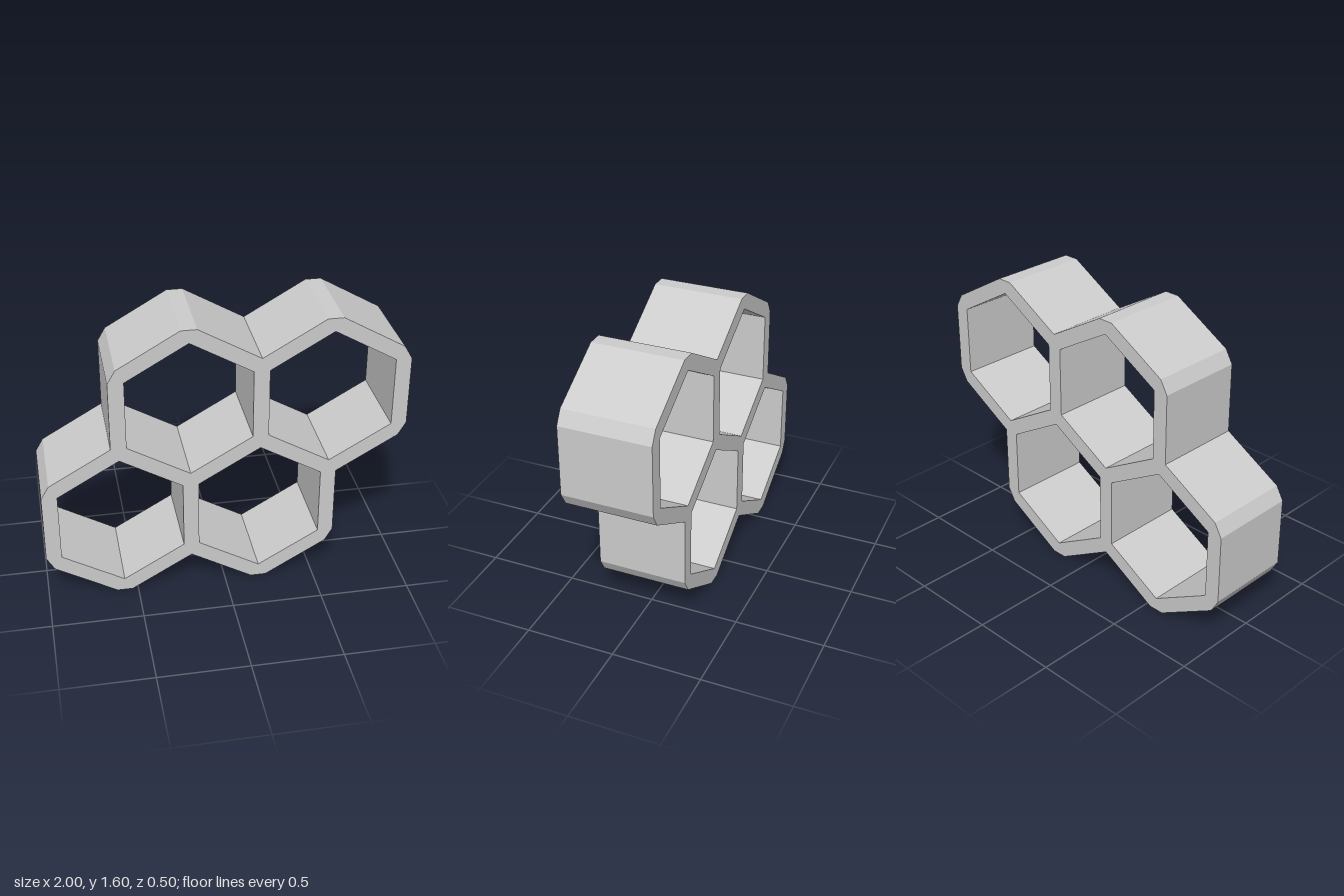
import * as THREE from 'three';

const WALL = 0.086;
const APOTHEM = (2 - 3.5 * WALL) / 5;         // inside half-width of one cell
const RADIUS = APOTHEM / Math.cos(Math.PI / 6);
const PITCH = 2 * APOTHEM + WALL;
const DEPTH = 0.5;
const polar = (a, r) => new THREE.Vector2(Math.cos(a), Math.sin(a)).multiplyScalar(r);
const sideAngle = (k) => (k * Math.PI) / 3;

export function createModel() {
  // cell centres: two staggered rows of two
  const low = RADIUS + WALL * Math.cos(Math.PI / 6);
  const high = low + PITCH * Math.sin(Math.PI / 3);
  const cells = [[-0.75, low], [0.25, low], [-0.25, high], [0.75, high]]
    .map(([x, y]) => new THREE.Vector2(x * PITCH, y));
  const neighbour = (cell, k) => {
    const p = polar(sideAngle(k), PITCH).add(cell);
    return cells.find((c) => c.distanceTo(p) < 0.01);
  };

  // outer outline: walk the free sides, each pushed out by the wall thickness
  const outline = [];
  const add = (p) => {
    if (!outline.some((q) => q.distanceTo(p) < 1e-4)) outline.push(p);
  };
  let cell = cells[0], k = 3;
  do {
    const next = neighbour(cell, k);
    if (next) {
      cell = next;
      k = (k + 4) % 6;
    } else {
      for (const s of [-1, 1]) {
        add(polar(sideAngle(k + s / 2), RADIUS).add(polar(sideAngle(k), WALL)).add(cell));
      }
      k = (k + 1) % 6;
    }
  } while (cell !== cells[0] || k !== 3);

  // hexagonal openings
  const shape = new THREE.Shape(outline);
  for (const c of cells) {
    const corners = Array.from({ length: 6 }, (_, i) => polar(sideAngle(0.5 - i), RADIUS).add(c));
    shape.holes.push(new THREE.Path(corners));
  }

  const geometry = new THREE.ExtrudeGeometry(shape, { depth: DEPTH, bevelEnabled: false });
  geometry.translate(0, 0, -DEPTH / 2);
  const material = new THREE.MeshStandardMaterial({ color: 0xcccccc, flatShading: true });
  const frame = new THREE.Mesh(geometry, material);
  frame.name = 'honeycombFrame';

  const group = new THREE.Group();
  group.name = 'honeycombShelf';
  group.add(frame);
  return group;
}
